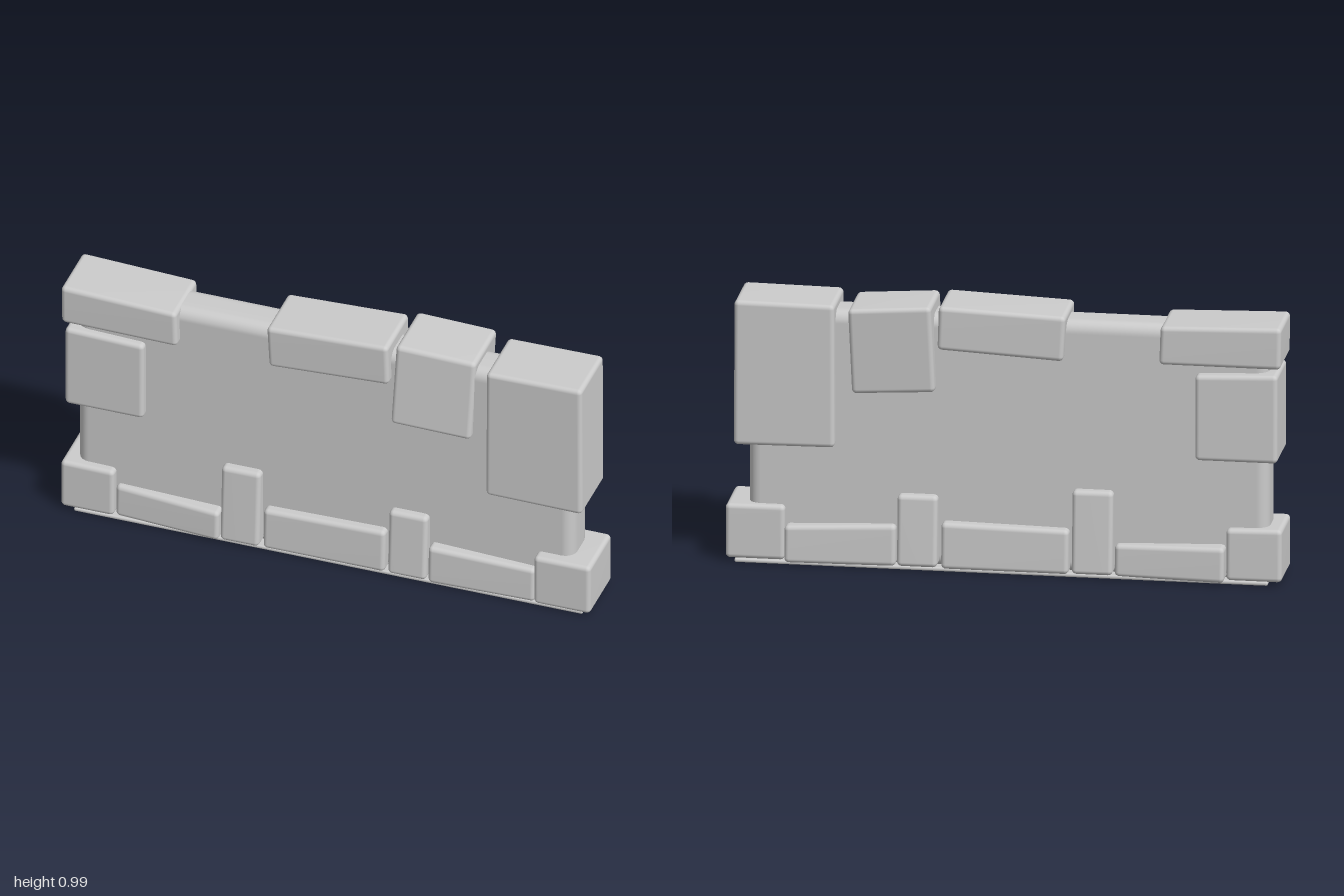
import * as THREE from 'three';
import { RoundedBoxGeometry } from 'three/addons/geometries/RoundedBoxGeometry.js';
import { mergeVertices } from 'three/addons/utils/BufferGeometryUtils.js';

const material = new THREE.MeshStandardMaterial({ color: 0xcccccc });
const lerp = THREE.MathUtils.lerp;

// Rounded stone whose front outline is four corners: [left, right] pairs for each edge end.
// yaw and pitch lean it in z, flare thickens its foot.
function stone(name, { tl, tr, br, bl, z, yaw = 0, pitch = 0, flare = 0, radius = 0.017 }) {
  const w = (tr[0] - tl[0] + br[0] - bl[0]) / 2;
  const h = (tl[1] - bl[1] + tr[1] - br[1]) / 2;
  const d = z[1] - z[0];
  let geo = new RoundedBoxGeometry(w, h, d, 3, radius);
  geo.deleteAttribute('normal');
  geo.deleteAttribute('uv');
  geo = mergeVertices(geo, 1e-5);
  const p = geo.attributes.position;
  for (let i = 0; i < p.count; i++) {
    const u = p.getX(i) / w + 0.5, v = p.getY(i) / h + 0.5, t = p.getZ(i) / d;
    const at = k => lerp(lerp(bl[k], br[k], u), lerp(tl[k], tr[k], u), v);
    const depth = d + flare * 2 * (1 - v);
    p.setXYZ(i, at(0), at(1), (z[0] + z[1]) / 2 + t * depth + yaw * (u - 0.5) + pitch * (v - 0.5));
  }
  geo.computeVertexNormals();
  const mesh = new THREE.Mesh(geo, material);
  mesh.name = name;
  return mesh;
}

// Upright stone with straight sides and a sloping top
const block = (name, x0, x1, y0, yLeft, yRight, z, extra = {}) => stone(name, {
  tl: [x0, yLeft], tr: [x1, yRight], br: [x1, y0], bl: [x0, y0], z, ...extra,
});

export function createModel() {
  const wall = new THREE.Group();
  wall.name = 'stoneWall';

  // Plastered core with softened edges
  wall.add(block('wallCore', -0.95, 0.92, 0.003, 0.94, 0.94, [-0.07, 0.09], { radius: 0.045 }));

  // Thin footing with rounded corners
  wall.add(block('footing', -0.95, 0.965, 0, 0.014, 0.014, [-0.1, 0.122], { radius: 0.006 }));

  // Bottom row
  wall.add(
    block('leftCornerStone', -1, -0.8, 0.012, 0.207, 0.203, [-0.1, 0.125]),
    block('leftBaseSlab', -0.797, -0.4, 0.01, 0.14, 0.127, [-0.115, 0.125], { yaw: 0.028, flare: 0.004 }),
    block('leftPost', -0.395, -0.248, 0.016, 0.322, 0.322, [-0.104, 0.124], { flare: 0.018 }),
    block('middleBaseSlab', -0.236, 0.222, 0.012, 0.174, 0.182, [-0.11, 0.126], { flare: 0.006 }),
    block('rightPost', 0.235, 0.38, 0.016, 0.277, 0.277, [-0.105, 0.122], { flare: 0.016 }),
    block('rightBaseSlab', 0.386, 0.785, 0.01, 0.162, 0.146, [-0.108, 0.126], { yaw: -0.012, flare: 0.004 }),
    block('rightCornerStone', 0.785, 0.998, 0.014, 0.215, 0.215, [-0.1, 0.135]),
  );

  // Side stones
  wall.add(
    block('leftSideStone', -0.986, -0.69, 0.456, 0.783, 0.772, [-0.11, 0.12]),
    stone('rightSideStone', {
      tl: [0.606, 0.97], tr: [0.965, 0.974], br: [0.967, 0.438], bl: [0.604, 0.442], z: [-0.11, 0.135],
    }),
  );

  // Capping stones
  wall.add(
    stone('leftCapStone', {
      tl: [-1, 0.96], tr: [-0.565, 0.946], br: [-0.56, 0.805], bl: [-0.998, 0.806],
      z: [-0.11, 0.125], yaw: 0.006,
    }),
    stone('middleCapStone', {
      tl: [-0.225, 0.966], tr: [0.231, 0.984], br: [0.236, 0.824], bl: [-0.216, 0.8], z: [-0.11, 0.125],
    }),
    stone('tiltedCapStone', {
      tl: [0.256, 0.986], tr: [0.552, 0.969], br: [0.541, 0.65], bl: [0.244, 0.664],
      z: [-0.126, 0.111], yaw: -0.012, pitch: -0.024,
    }),
  );

  return wall;
}
